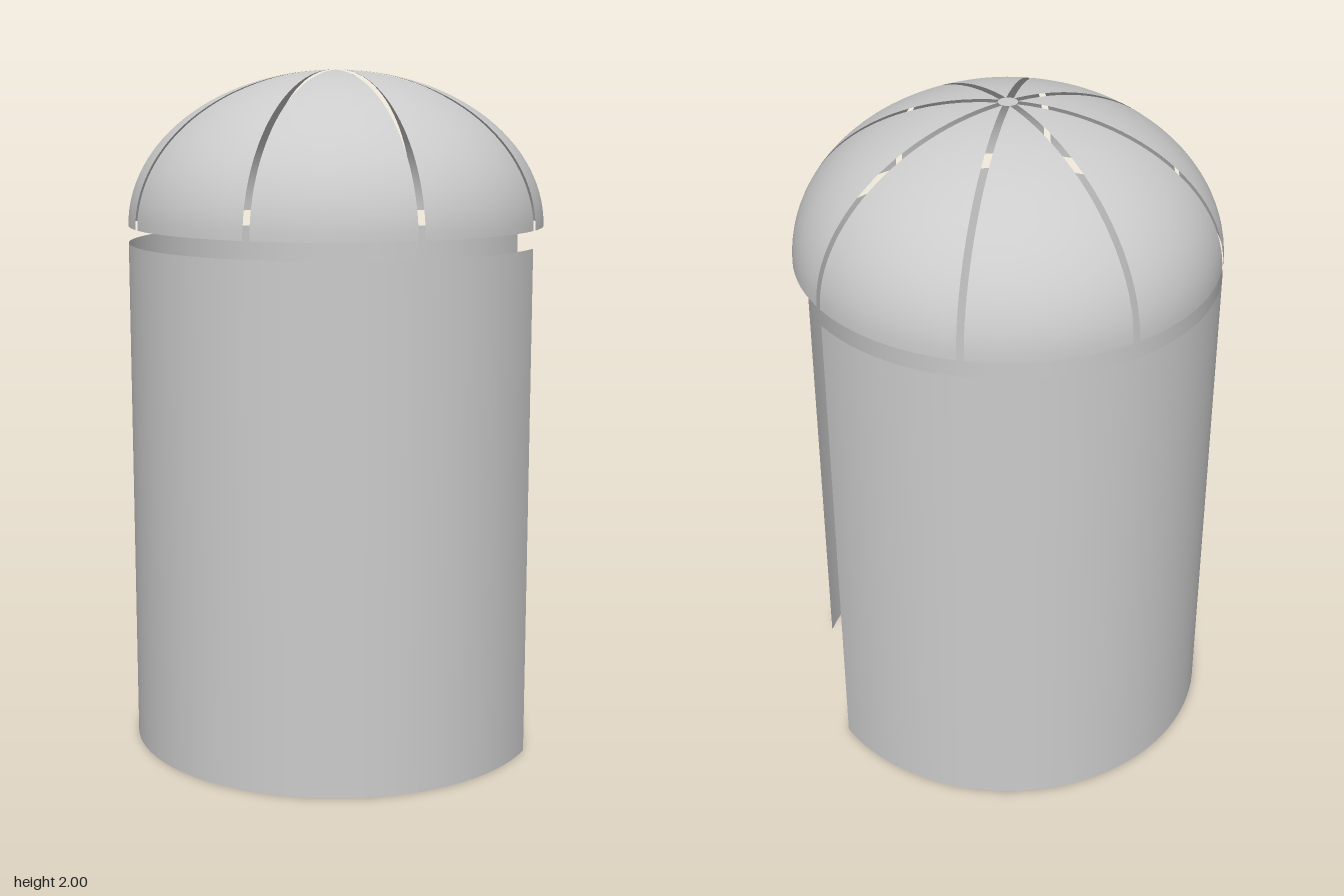
import * as THREE from 'three';

const RADIUS = 0.612, WALL_TOP = 1.5, DOME_BASE = 1.55, DOME_HEIGHT = 0.45;
const PANELS = 8, HALF_SLOT = 0.0103;
const STEP = (Math.PI * 2) / PANELS;
const TURN = THREE.MathUtils.degToRad(-2.25); // direction of the first slot
const CAP_RADIUS = 0.028;

// One dome panel: a plane bent onto an ellipsoid, with parallel-sided slots beside it
function domePanel(index) {
  const geo = new THREE.PlaneGeometry(1, 1, 12, 28);
  const pos = geo.attributes.position;
  const middle = TURN + (index + 0.5) * STEP;
  const maxLat = Math.acos(CAP_RADIUS / RADIUS);
  for (let i = 0; i < pos.count; i++) {
    const lat = (pos.getY(i) + 0.5) * maxLat;
    const r = RADIUS * Math.cos(lat);
    const span = STEP - 2 * Math.asin(HALF_SLOT / r);
    const a = middle + pos.getX(i) * span;
    pos.setXYZ(i, r * Math.sin(a), DOME_BASE + DOME_HEIGHT * Math.sin(lat), r * Math.cos(a));
  }
  geo.computeVertexNormals();
  return geo;
}

export function createModel() {
  const model = new THREE.Group();
  const material = new THREE.MeshStandardMaterial({ color: 0xcccccc, side: THREE.DoubleSide });

  // Thin round wall, left open one panel wide as a doorway
  const edge = Math.asin(HALF_SLOT / RADIUS);
  const start = TURN + 2 * STEP + edge;
  const wall = new THREE.Mesh(
    new THREE.CylinderGeometry(RADIUS, RADIUS, WALL_TOP, 84, 1, true, start, 7 * STEP - 2 * edge),
    material
  );
  wall.name = 'wall';
  wall.position.y = WALL_TOP / 2;
  model.add(wall);

  // Slotted dome floating just above the wall
  const dome = new THREE.Group();
  dome.name = 'dome';
  for (let i = 0; i < PANELS; i++) {
    const panel = new THREE.Mesh(domePanel(i), material);
    panel.name = `domePanel${i + 1}`;
    dome.add(panel);
  }

  // Small disc where the slots meet
  const cap = new THREE.Mesh(new THREE.CircleGeometry(CAP_RADIUS, 32), material);
  cap.name = 'domeCap';
  cap.rotation.x = -Math.PI / 2;
  cap.position.y = DOME_BASE + DOME_HEIGHT;
  dome.add(cap);
  model.add(dome);

  return model;
}
